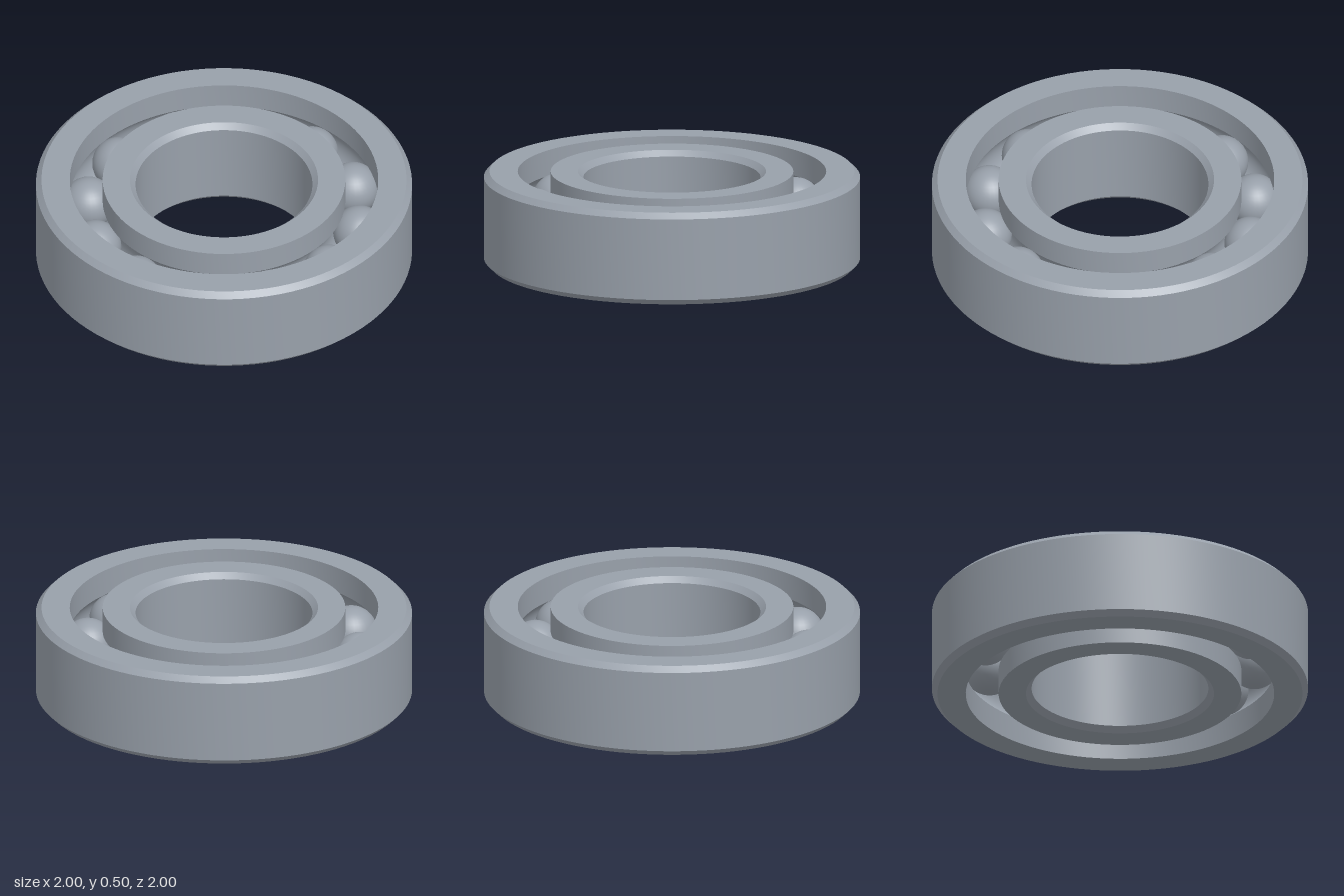
import * as THREE from 'three';
import { toCreasedNormals } from 'three/addons/utils/BufferGeometryUtils.js';

const HEIGHT = 0.5, MID = HEIGHT / 2, CHAMFER = 0.03;
const PITCH = 0.73, BALL_RADIUS = 0.14, GROOVE_RADIUS = 0.142, BALLS = 12;

// Points of the ball groove, as an arc around the ball centre in the (radius, height) plane
function grooveArc(from, to, steps = 14) {
  const points = [];
  for (let i = 0; i <= steps; i++) {
    const a = from + (to - from) * i / steps;
    points.push([PITCH + GROOVE_RADIUS * Math.cos(a), MID + GROOVE_RADIUS * Math.sin(a)]);
  }
  return points;
}

// Closed counter-clockwise profile turned around the y axis, with sharp machined edges
function turnedRing(name, profile, material) {
  const points = [...profile, profile[0]].map(([r, y]) => new THREE.Vector2(r, y));
  const geometry = toCreasedNormals(new THREE.LatheGeometry(points, 96), Math.PI / 6);
  const mesh = new THREE.Mesh(geometry, material);
  mesh.name = name;
  return mesh;
}

export function createModel() {
  const model = new THREE.Group();
  model.name = 'ballBearing';
  const steel = new THREE.MeshStandardMaterial({ color: 0x98a0aa });
  steel.name = 'steel';

  // Outer race: chamfered outside, grooved inside
  const outerR = 1, outerBore = 0.82;
  const a = Math.acos((outerBore - PITCH) / GROOVE_RADIUS);
  model.add(turnedRing('outerRace', [
    [outerBore, 0], [outerR - CHAMFER, 0], [outerR, CHAMFER],
    [outerR, HEIGHT - CHAMFER], [outerR - CHAMFER, HEIGHT], [outerBore, HEIGHT],
    ...grooveArc(a, -a),
  ], steel));

  // Inner race: grooved outside, chamfered bore
  const innerR = 0.645, bore = 0.47;
  const b = Math.acos((PITCH - innerR) / GROOVE_RADIUS);
  model.add(turnedRing('innerRace', [
    [bore + CHAMFER, 0], [innerR, 0],
    ...grooveArc(Math.PI + b, Math.PI - b),
    [innerR, HEIGHT], [bore + CHAMFER, HEIGHT],
    [bore, HEIGHT - CHAMFER], [bore, CHAMFER],
  ], steel));

  // Balls evenly spaced between the races
  const balls = new THREE.Group();
  balls.name = 'balls';
  const ballGeometry = new THREE.SphereGeometry(BALL_RADIUS, 32, 20);
  for (let i = 0; i < BALLS; i++) {
    const angle = THREE.MathUtils.degToRad(12) + i * 2 * Math.PI / BALLS;
    const ball = new THREE.Mesh(ballGeometry, steel);
    ball.name = 'ball';
    ball.position.set(PITCH * Math.cos(angle), MID, PITCH * Math.sin(angle));
    balls.add(ball);
  }
  model.add(balls);
  return model;
}
